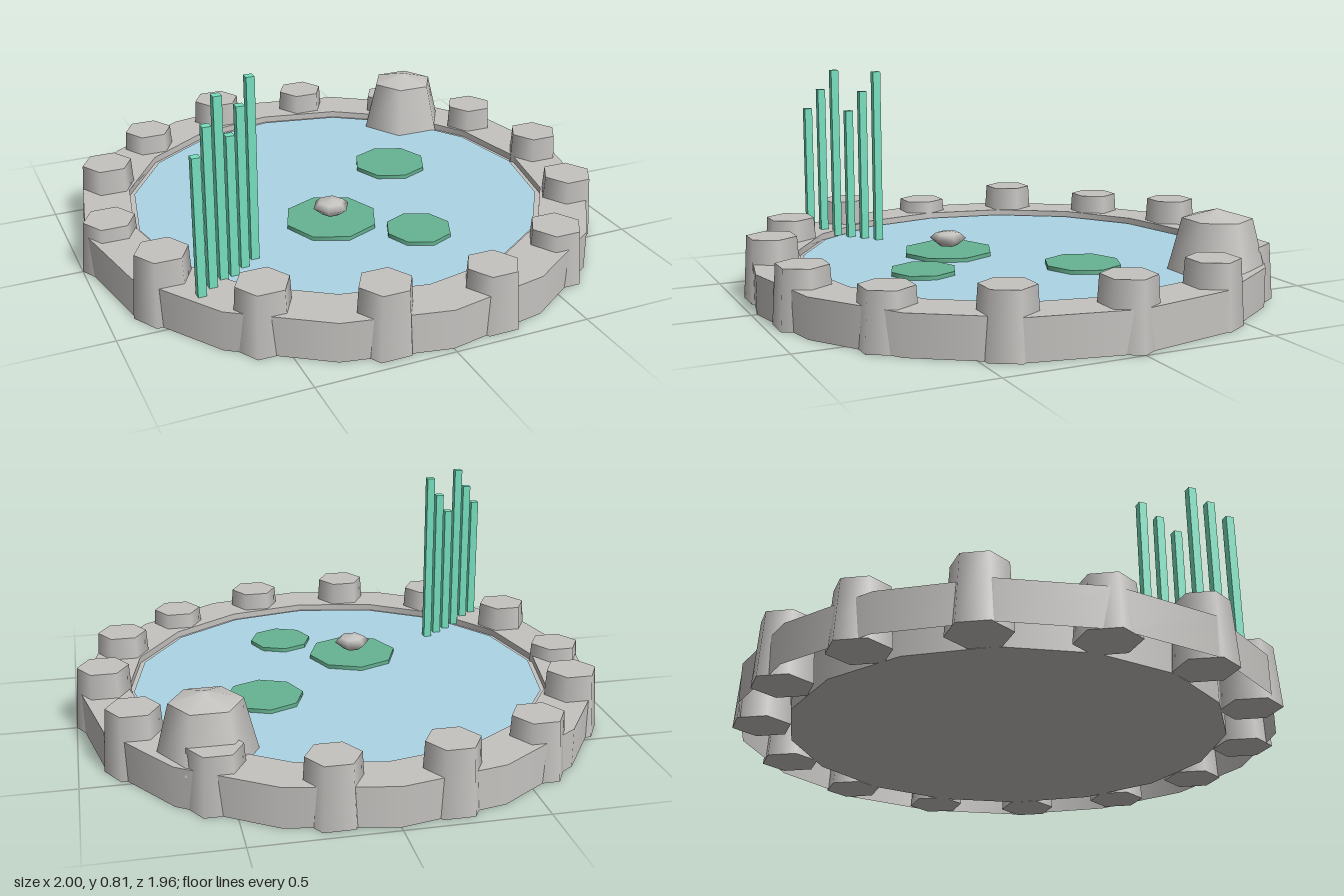
import * as THREE from 'three';

const mat = (name, hex, side = THREE.FrontSide) => {
  const m = new THREE.MeshStandardMaterial({ color: hex, side });
  m.name = name;
  return m;
};

export function createModel() {
  const stone = mat('stone', 0xc5c3c0, THREE.DoubleSide);
  const water = mat('water', 0xacd4e4);
  const leaf = mat('lily leaf', 0x66b492);
  const reed = mat('reed green', 0x76e0be);

  const pond = new THREE.Group();
  pond.name = 'pond';
  const add = (name, geometry, material, x = 0, y = 0, z = 0, parent = pond) => {
    const mesh = new THREE.Mesh(geometry, material);
    mesh.name = name;
    mesh.position.set(x, y, z);
    parent.add(mesh);
    return mesh;
  };
  const group = (name) => {
    const g = new THREE.Group();
    g.name = name;
    pond.add(g);
    return g;
  };

  // Rim: outer wall, flat top and the short inner wall above the basin
  const SIDES = 16, RIM = 0.145, BASIN = 0.12, WATER = 0.125;
  const rim = group('rim');
  add('outerWall', new THREE.CylinderGeometry(0.98, 0.98, RIM, SIDES, 1, true), stone, 0, RIM / 2, 0, rim);
  add('rimTop', new THREE.RingGeometry(0.8, 0.98, SIDES).rotateX(-Math.PI / 2), stone, 0, RIM, 0, rim);
  const innerWall = new THREE.LatheGeometry(
    [new THREE.Vector2(0.8, RIM), new THREE.Vector2(0.8, BASIN)], SIDES);
  add('innerWall', innerWall, stone, 0, 0, 0, rim);

  // Basin with the water surface on it
  add('basin', new THREE.CylinderGeometry(0.8, 0.8, BASIN, SIDES), stone, 0, BASIN / 2, 0);
  add('waterSurface', new THREE.CircleGeometry(0.782, SIDES).rotateX(-Math.PI / 2), water, 0, WATER, 0);

  // Fourteen tapered stones around the rim, all facing the same way
  const stones = group('rimStones');
  const heights = [0.24, 0.23, 0.205, 0.215, 0.236, 0.228, 0.24,
    0.195, 0.24, 0.22, 0.24, 0.225, 0.21, 0.235];
  heights.forEach((h, i) => {
    const a = (i / heights.length) * Math.PI * 2;
    const geometry = new THREE.CylinderGeometry(0.095, 0.11, h, 6).rotateY(Math.PI / 6);
    add('rimStone', geometry, stone, Math.cos(a) * 0.89, h / 2, Math.sin(a) * 0.89, stones);
  });

  // Boulder: tapered sides with a low pointed cap
  const boulder = group('boulder');
  boulder.position.set(0.567, 0, -0.567);
  add('boulderBody', new THREE.CylinderGeometry(0.127, 0.178, 0.2, 6).rotateY(Math.PI / 6),
    stone, 0, 0.215, 0, boulder);
  add('boulderCap', new THREE.ConeGeometry(0.127, 0.035, 6, 1, true).rotateY(Math.PI / 6),
    stone, 0, 0.3325, 0, boulder);

  // Lily pads
  const pads = group('lilyPads');
  [[-0.105, 0.204, 0.174], [0.31, -0.157, 0.145], [0.155, 0.411, 0.122]].forEach(([x, z, r]) =>
    add('lilyPad', new THREE.CylinderGeometry(r, r, 0.02, 8), leaf, x, 0.13, z, pads));

  // Flower bud above the largest pad
  const bud = [[0, 0.155], [0.035, 0.156], [0.07, 0.185], [0.048, 0.204], [0, 0.212]]
    .map(([r, y]) => new THREE.Vector2(r, y));
  add('flower', new THREE.LatheGeometry(bud, 6).rotateY(Math.PI / 6), stone, -0.105, 0, 0.204);

  // Row of reeds in three repeating heights
  const reeds = group('reeds');
  for (let i = 0; i < 6; i++) {
    const top = 0.643 + (i % 3) * 0.081;
    add('reed', new THREE.BoxGeometry(0.03, top - WATER, 0.03), reed,
      -0.722 + i * 0.0515, (top + WATER) / 2, 0.565 - i * 0.0412, reeds);
  }
  return pond;
}
